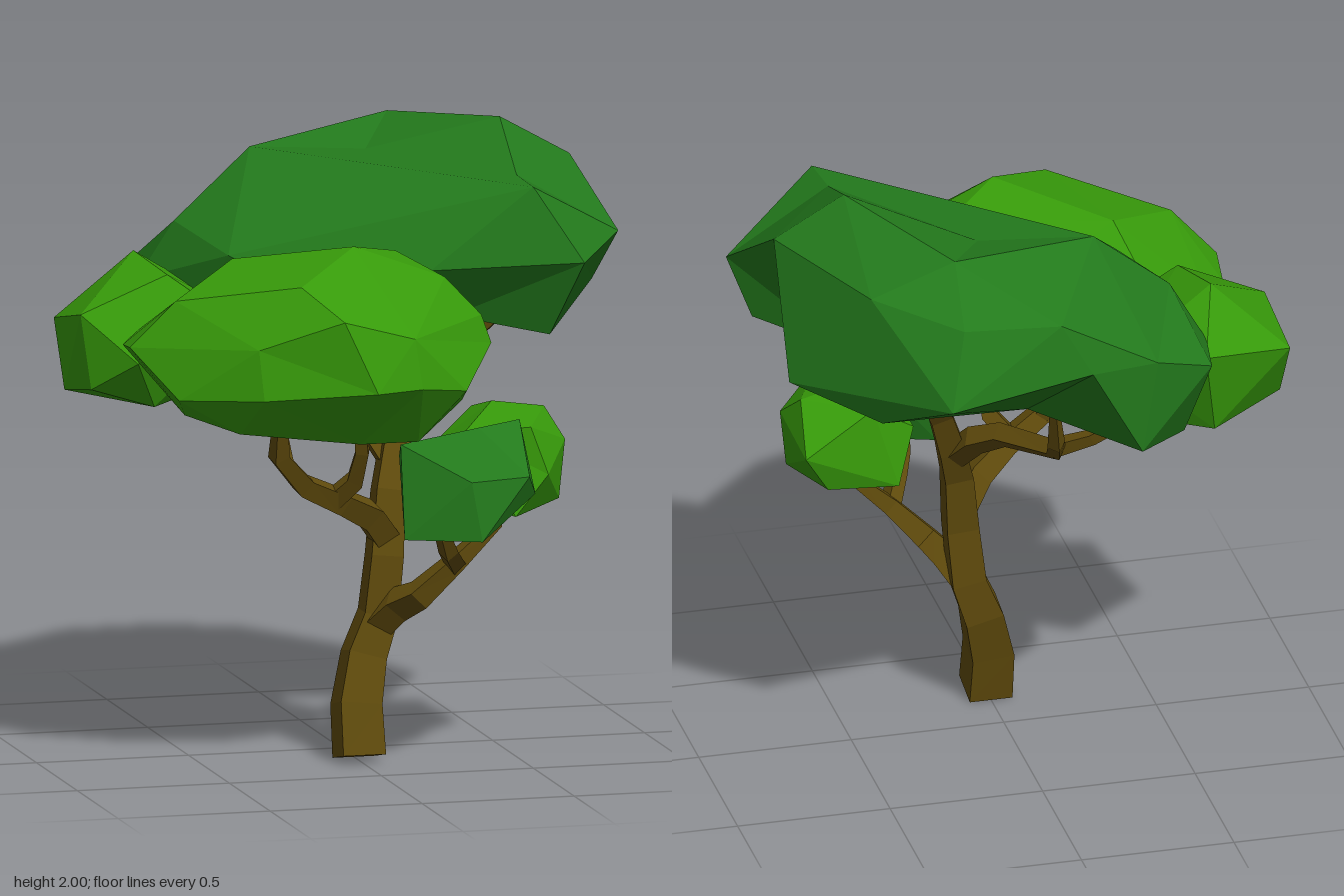
import * as THREE from 'three';
import { ConvexGeometry } from 'three/addons/geometries/ConvexGeometry.js';

const material = (color) => new THREE.MeshStandardMaterial({ color, flatShading: true });
const bark = material(0x604b0c);
const darkLeaf = material(0x237a1c);
const limeLeaf = material(0x379a0a);

// Tapered square limb through stations [x, y, z, half width], capped at both ends
function limb(name, stations) {
  const pts = stations.map(([x, y, z]) => new THREE.Vector3(x, y, z));
  const pos = [], index = [], n = pts.length, sides = 4;
  const u = new THREE.Vector3(0, 0, 1), v = new THREE.Vector3();
  pts.forEach((p, i) => {
    const t = pts[Math.min(i + 1, n - 1)].clone().sub(pts[Math.max(i - 1, 0)]).normalize();
    u.addScaledVector(t, -u.dot(t)).normalize();
    v.crossVectors(t, u);
    for (let k = 0; k < sides; k++) {
      const a = ((k + 0.5) / sides) * Math.PI * 2, r = stations[i][3] * Math.SQRT2;
      const q = p.clone().addScaledVector(u, Math.cos(a) * r).addScaledVector(v, Math.sin(a) * r);
      pos.push(q.x, q.y, q.z);
    }
  });
  for (let i = 0; i < n - 1; i++) {
    for (let k = 0; k < sides; k++) {
      const a = i * sides + k, b = i * sides + (k + 1) % sides;
      index.push(a, b, b + sides, a, b + sides, a + sides);
    }
  }
  const last = (n - 1) * sides;
  for (let k = 1; k < sides - 1; k++) index.push(0, k + 1, k, last, last + k, last + k + 1);
  const g = new THREE.BufferGeometry();
  g.setAttribute('position', new THREE.Float32BufferAttribute(pos, 3));
  g.setIndex(index);
  const flat = g.toNonIndexed();
  flat.computeVertexNormals();
  const mesh = new THREE.Mesh(flat, bark);
  mesh.name = name;
  return mesh;
}

// Faceted leaf mass: corners are joined as on a sphere around the middle, so dents are kept
function crown(name, mat, corners) {
  const pts = corners.map((c) => new THREE.Vector3(...c));
  const box = new THREE.Box3().setFromPoints(pts);
  const middle = box.getCenter(new THREE.Vector3()), size = box.getSize(new THREE.Vector3());
  const dirs = pts.map((p) => p.clone().sub(middle).divide(size).normalize());
  const g = new ConvexGeometry(dirs);
  const pos = g.attributes.position, d = new THREE.Vector3();
  for (let i = 0; i < pos.count; i++) {
    d.fromBufferAttribute(pos, i);
    const p = pts[dirs.findIndex((e) => e.distanceToSquared(d) < 1e-8)];
    pos.setXYZ(i, p.x, p.y, p.z);
  }
  g.computeVertexNormals();
  const mesh = new THREE.Mesh(g, mat);
  mesh.name = name;
  return mesh;
}

export function createModel() {
  const tree = new THREE.Group();
  tree.name = 'tree';

  // Trunk, leaning back and running on into the main bough
  tree.add(limb('trunk', [
    [0, 0.018, 0.23, 0.07], [0.0, 0.18, 0.195, 0.068], [0.035, 0.33, 0.155, 0.062],
    [0.085, 0.46, 0.145, 0.055], [0.105, 0.65, 0.147, 0.052], [0.125, 0.85, 0.115, 0.046],
    [0.16, 0.98, 0.06, 0.042], [0.21, 1.13, 0.0, 0.036], [0.28, 1.27, -0.1, 0.031],
    [0.48, 1.4, -0.25, 0.023], [0.56, 1.5, -0.33, 0.014],
  ]));

  const branches = new THREE.Group();
  branches.name = 'branches';
  branches.add(
    // Upper twigs
    limb('upperFrontBranch', [[0.27, 1.26, -0.08, 0.026], [0.33, 1.28, 0.0, 0.024], [0.39, 1.32, 0.1, 0.02], [0.48, 1.42, 0.17, 0.015]]),
    limb('upperTwig', [[0.47, 1.395, -0.25, 0.02], [0.55, 1.44, -0.22, 0.017], [0.61, 1.5, -0.18, 0.012]]),
    // Back branch and its fork
    limb('backBranch', [[0.15, 0.93, 0.08, 0.034], [0.1, 1.03, -0.02, 0.034], [0.03, 1.08, -0.1, 0.03], [-0.09, 1.12, -0.32, 0.026], [-0.06, 1.2, -0.44, 0.021], [-0.04, 1.34, -0.5, 0.013]]),
    limb('backTwig', [[-0.08, 1.115, -0.3, 0.024], [-0.2, 1.17, -0.36, 0.019], [-0.36, 1.28, -0.43, 0.013]]),
    // Left-hand branch under the wide crown
    limb('sideBranch', [[0.11, 0.7, 0.145, 0.04], [0.04, 0.79, 0.2, 0.04], [-0.07, 0.85, 0.27, 0.034], [-0.21, 0.92, 0.33, 0.03], [-0.31, 1.03, 0.4, 0.026], [-0.32, 1.18, 0.46, 0.017]]),
    limb('sideTwig', [[-0.1, 0.86, 0.28, 0.028], [-0.04, 0.93, 0.33, 0.026], [-0.03, 1.03, 0.38, 0.021], [-0.05, 1.17, 0.42, 0.015]]),
    limb('sideTipTwig', [[-0.19, 0.91, 0.32, 0.024], [-0.26, 0.99, 0.3, 0.023], [-0.28, 1.18, 0.25, 0.015]]),
    // Low branch to the small crowns
    limb('lowBranch', [[0.07, 0.42, 0.15, 0.044], [0.13, 0.5, 0.22, 0.042], [0.18, 0.54, 0.29, 0.036], [0.29, 0.65, 0.33, 0.027], [0.42, 0.77, 0.335, 0.018], [0.43, 0.88, 0.33, 0.013]]),
    limb('lowTwig', [[0.29, 0.64, 0.33, 0.025], [0.24, 0.7, 0.43, 0.023], [0.21, 0.76, 0.48, 0.019], [0.2, 0.88, 0.52, 0.013]]),
  );
  tree.add(branches);

  const crowns = new THREE.Group();
  crowns.name = 'crowns';
  crowns.add(
    crown('topCrown', darkLeaf, [
      [0.55, 2, -0.1], [0.16, 1.88, -0.29], [0.3, 1.95, -0.55], [-0.2, 1.89, -0.37], [0.0, 1.78, -0.75],
      [0.32, 1.8, -0.75], [0.78, 1.87, -0.1], [0.53, 1.86, 0.39], [0.52, 1.87, 0.22], [-0.46, 1.67, -0.33],
      [-0.38, 1.62, 0.04], [0.38, 1.56, -0.84], [-0.1, 1.6, -0.76], [-0.33, 1.58, -0.69], [-0.53, 1.5, -0.6],
      [-0.57, 1.48, -0.37], [0.58, 1.86, -0.57], [0.8, 1.5, -0.38], [0.86, 1.67, 0.2], [0.68, 1.62, 0.46],
      [0.2, 1.6, 0.36], [-0.16, 1.5, 0.23], [0.8, 1.5, 0.1], [0.6, 1.37, 0.33], [0.3, 1.43, 0.25],
      [0.55, 1.43, -0.6], [-0.28, 1.27, -0.69], [-0.47, 1.22, -0.48], [-0.5, 1.28, -0.2],
      // Hollow underside
      [0.4, 1.51, -0.1], [0.58, 1.52, -0.25], [0.1, 1.42, -0.2], [0.05, 1.37, -0.5],
    ]),
    crown('wideCrown', limeLeaf, [
      [-0.08, 1.71, 0.46], [-0.41, 1.64, 0.2], [0.1, 1.66, 0.3], [-0.2, 1.53, 0.8], [-0.3, 1.62, 0.64],
      [-0.65, 1.55, 0.4], [-0.79, 1.4, 0.36], [-0.77, 1.38, 0.2], [-0.69, 1.4, 0.08], [-0.48, 1.48, -0.05],
      [-0.67, 1.25, 0.52], [-0.44, 1.27, 0.71], [-0.1, 1.3, 0.84], [0.06, 1.3, 0.79], [0.23, 1.27, 0.69],
      [-0.45, 1.43, 0.68], [0.04, 1.46, 0.77], [0.23, 1.59, 0.42], [0.34, 1.47, 0.46], [0.37, 1.38, 0.47],
      [0.27, 1.2, 0.48], [0.09, 1.1, 0.62], [-0.1, 1.1, 0.62], [-0.48, 1.14, 0.56], [-0.62, 1.18, 0.4],
      [-0.45, 1.17, 0.1], [0.05, 1.17, 0.15], [0.12, 1.4, 0.03], [-0.1, 1.25, -0.05],
    ]),
    crown('backSideCrown', limeLeaf, [
      [-0.86, 1.17, -0.18], [-0.86, 1.38, -0.31], [-0.85, 1.44, -0.02], [-0.82, 1.2, 0], [-0.7, 1.3, 0.13],
      [-0.62, 1.6, -0.23], [-0.57, 1.56, 0.0], [-0.55, 1.45, -0.45], [-0.6, 1.15, -0.36], [-0.62, 1.14, 0.03],
      [-0.35, 1.16, -0.22], [-0.3, 1.4, -0.3], [-0.35, 1.4, 0.05],
    ]),
    crown('lowFrontCrown', darkLeaf, [
      [0.05, 1.08, 0.55], [0.31, 1.12, 0.54], [0.46, 1.13, 0.48], [0.48, 0.91, 0.6],
      [0.44, 0.98, 0.68], [0.28, 0.78, 0.7], [0.25, 0.97, 0.68], [0.05, 0.78, 0.6],
      [0.1, 0.79, 0.47], [0.08, 1.02, 0.42], [0.38, 0.84, 0.46], [0.3, 1.05, 0.38],
    ]),
    crown('lowSideCrown', limeLeaf, [
      [0.43, 1.15, 0.25], [0.61, 1.12, 0.22], [0.5, 1.1, 0.47], [0.4, 1.11, 0.11], [0.65, 1.03, 0.33],
      [0.63, 0.84, 0.33], [0.55, 0.95, 0.5], [0.44, 0.82, 0.51], [0.63, 0.98, 0.07], [0.55, 0.85, 0.1],
      [0.32, 0.84, 0.09], [0.25, 1.0, 0.18], [0.26, 0.86, 0.33], [0.3, 1.08, 0.4],
    ]),
  );
  tree.add(crowns);
  return tree;
}
